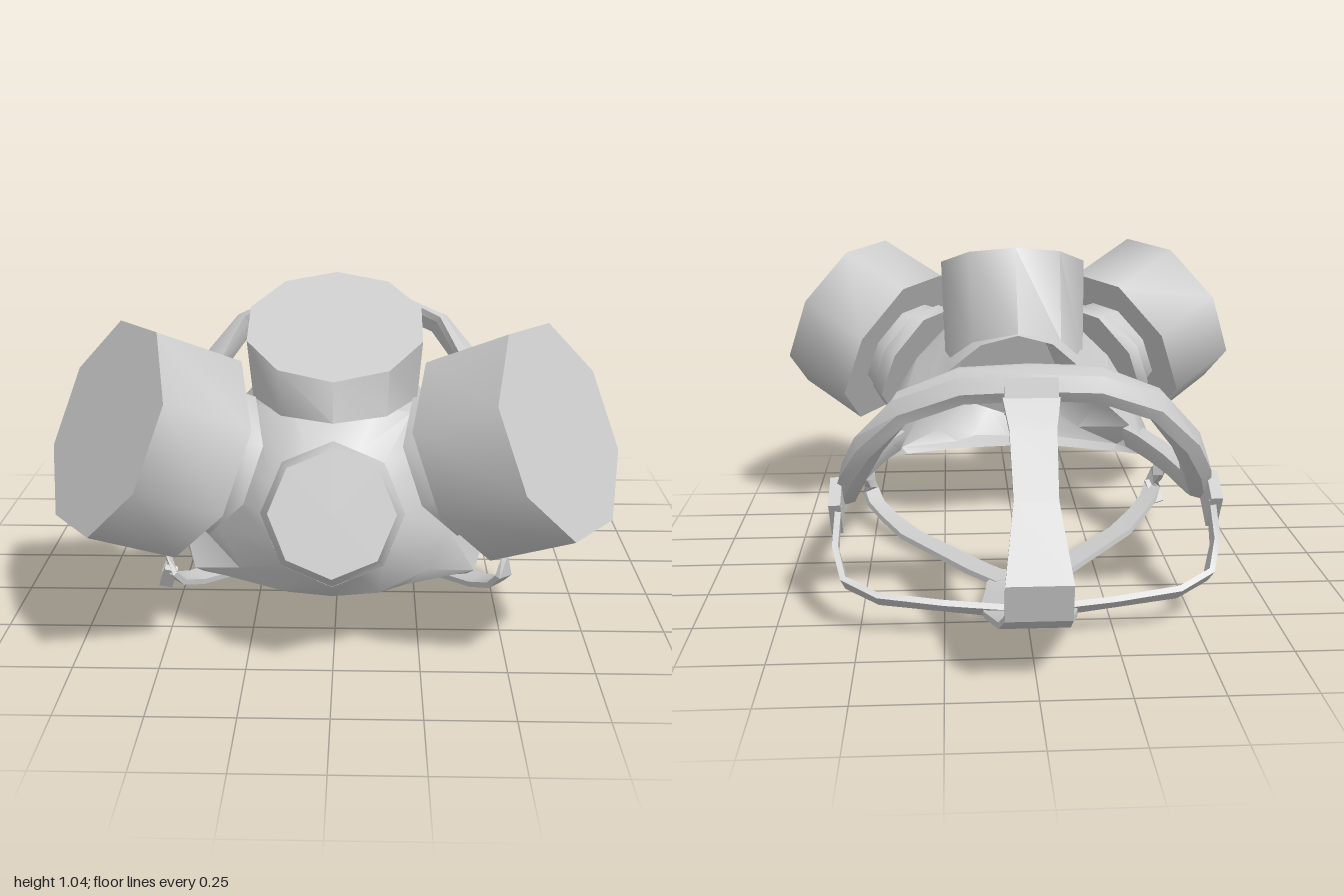
import * as THREE from 'three';
import { toCreasedNormals } from 'three/addons/utils/BufferGeometryUtils.js';

const V = (x, y, z) => new THREE.Vector3(x, y, z);
const material = new THREE.MeshStandardMaterial({ color: 0xcccccc, side: THREE.DoubleSide });

// Skin a list of equal-length closed loops; capStart / capEnd fill the ends.
function loft(name, loops, capStart, capEnd, crease) {
  const n = loops[0].length, pos = [], idx = [];
  loops.forEach(l => l.forEach(p => pos.push(p.x, p.y, p.z)));
  for (let i = 0; i < loops.length - 1; i++) {
    for (let j = 0; j < n; j++) {
      const a = i * n + j, b = i * n + (j + 1) % n;
      idx.push(a, b, a + n, b, b + n, a + n);
    }
  }
  const last = (loops.length - 1) * n;
  for (let j = 1; j < n - 1; j++) {
    if (capStart) idx.push(0, j + 1, j);
    if (capEnd) idx.push(last, last + j, last + j + 1);
  }
  // turn the faces outward
  let volume = 0;
  const at = i => V(pos[3 * i], pos[3 * i + 1], pos[3 * i + 2]);
  for (let k = 0; k < idx.length; k += 3) volume += at(idx[k]).dot(at(idx[k + 1]).cross(at(idx[k + 2])));
  if (volume < 0) idx.reverse();
  const g = new THREE.BufferGeometry();
  g.setAttribute('position', new THREE.Float32BufferAttribute(pos, 3));
  g.setIndex(idx);
  const mesh = new THREE.Mesh(toCreasedNormals(g, crease), material);
  mesh.name = name;
  return mesh;
}

// Faceted drum: axis n, one corner toward u, centre of its outer face, radii, depth.
function drum(name, n, u, face, rFace, rBack, depth) {
  const g = new THREE.CylinderGeometry(rFace, rBack, depth, 8).translate(0, -depth / 2, 0);
  const y = n.clone().normalize();
  const x = y.clone().cross(u).normalize();
  const z = x.clone().cross(y);
  g.applyMatrix4(new THREE.Matrix4().makeBasis(x, y, z).setPosition(face));
  const mesh = new THREE.Mesh(toCreasedNormals(g, 0.85), material);
  mesh.name = name;
  return mesh;
}

// Flat strap through points [x, y, z, halfWidth], facing away from the head centre.
function strap(name, s, rows) {
  const pts = rows.map(r => V(r[0] * s, r[1], r[2]));
  const head = V(0, 0.6, -0.2);
  const loops = pts.map((p, i) => {
    const t = pts[Math.min(i + 1, pts.length - 1)].clone().sub(pts[Math.max(i - 1, 0)]).normalize();
    const side = t.clone().cross(p.clone().sub(head)).normalize();
    const n = side.clone().cross(t).normalize();
    return [[1, 1], [1, -1], [-1, -1], [-1, 1]].map(([a, b]) =>
      p.clone().addScaledVector(side, a * rows[i][3]).addScaledVector(n, b * 0.009));
  });
  return loft(name, loops, true, true, 0.5);
}

function box(name, size, p, rot) {
  const mesh = new THREE.Mesh(new THREE.BoxGeometry(...size), material);
  mesh.position.set(...p);
  mesh.rotation.set(...rot);
  mesh.name = name;
  return mesh;
}

// Mirror a half outline that starts and ends on x = 0 into a full loop.
const mirrorLoop = half => {
  const right = half.map(p => V(...p));
  return right.concat(right.slice(1, -1).reverse().map(p => V(-p.x, p.y, p.z)));
};

export function createModel() {
  const group = new THREE.Group();

  // Hollow snout, from the nose-and-chin rim forward to the valve seat
  const seat = Array.from({ length: 9 }, (_, i) => {
    const a = i * Math.PI / 8, r = i % 2 ? 0.185 : 0.2;
    return [i % 8 ? r * Math.sin(a) : 0, 0.482 + 0.93 * r * Math.cos(a), 0.736 - 0.37 * r * Math.cos(a)];
  });
  const rows = [
    [[0, .775, .005], [.12, .73, .075], [.23, .62, .18], [.33, .48, .19], [.43, .39, .18],
      [.51, .28, .25], [.39, .215, .55], [.2, .22, .6], [0, .22, .62]],
    [[0, .82, .2], [.13, .79, .24], [.24, .73, .32], [.34, .63, .35], [.42, .5, .36],
      [.485, .36, .37], [.41, .235, .57], [.2, .23, .66], [0, .23, .68]],
    [[0, .75, .6], [.12, .745, .6], [.22, .72, .56], [.28, .62, .57], [.32, .5, .58],
      [.33, .38, .61], [.27, .28, .66], [.13, .235, .72], [0, .23, .735]],
    seat,
  ];
  group.add(loft('snout', rows.map(mirrorLoop), false, false, 0.8));

  // Front breathing valve
  group.add(drum('frontValve', V(0, .37, .93), V(0, .93, -.37), V(0, .51, .805), .175, .2, .075));

  // Central housing on the nose bridge: tilted flat cap, base flared over the nose
  const cap = [], base = [];
  for (let i = 0; i < 10; i++) {
    const a = i * Math.PI / 5, c = Math.cos(a), sn = Math.sin(a);
    cap.push(V(.262 * sn, .94 - .1 * c, .425 + .245 * c));
    base.push(V(.25 * sn, c > 0 ? .73 : .58 - .2 * c, .35 + .345 * c));
  }
  group.add(loft('centralHousing', [base, cap], false, true, 0.7));

  // Visor frame: [outer x, outer z, inner x, inner z, y] from the snout to the brow
  const frame = [
    [.47, .35, .39, .26, .345], [.5, .29, .43, .2, .335],
    [.535, .2, .455, .13, .33], [.575, .05, .5, .03, .313], [.6, -.13, .525, -.12, .31],
    [.59, -.3, .505, -.29, .355], [.555, -.45, .465, -.41, .465], [.5, -.55, .42, -.48, .57],
    [.38, -.61, .34, -.535, .69], [.2, -.64, .19, -.56, .755], [0, -.65, 0, -.57, .765],
  ];
  const full = frame.concat(frame.slice(0, -1).reverse().map(([a, b, c, d, y]) => [-a, b, -c, d, y]));
  const mid = full.map(([a, b, c, d, y]) => V((a + c) / 2, y, (b + d) / 2));
  const section = [[-.5, -.047], [-1, -.015], [-.6, .03], [.5, .047], [1.25, .045], [1.2, .02], [.6, -.035]];
  group.add(loft('visorFrame', full.map(([a, b, c, d], i) => {
    const t = mid[Math.min(i + 1, mid.length - 1)].clone().sub(mid[Math.max(i - 1, 0)]).normalize();
    const h = V((c - a) / 2, 0, (d - b) / 2);
    const v = h.clone().cross(t).normalize();
    if (v.y < 0) v.negate();
    return section.map(([p, q]) => mid[i].clone().addScaledVector(h, p).addScaledVector(v, q));
  }), true, true, 0.5));

  // Centre strap: under the head, round the back and up to the brow
  group.add(strap('centreStrap', 1, [
    [0, .015, -.145, .065], [0, .015, -.25, .115], [0, .035, -.38, .125], [0, .07, -.55, .142],
    [0, .09, -.65, .135], [0, .125, -.8, .1], [0, .22, -.965, .09], [0, .32, -.99, .09],
    [0, .5, -.85, .06], [0, .66, -.72, .065], [0, .73, -.65, .08],
  ]));
  group.add(box('browBuckle', [.15, .1, .035], [0, .735, -.64], [.3, 0, 0]));

  for (const s of [1, -1]) {
    // Side filter canister on its stepped neck
    const n = V(.766 * s, .426, .48).normalize();
    const u = V(-.24 * s, -.165, .53);
    const face = V(.615 * s, .732, .735);
    group.add(drum('sideCanister', n, u, face, .308, .308, .27));
    group.add(drum('canisterNeck', n, u, face.clone().addScaledVector(n, -.26), .18, .2, .07));
    group.add(drum('neckFlange', n, u, face.clone().addScaledVector(n, -.32), .21, .22, .05));

    // Temple strap and buckle
    group.add(strap('templeStrap', s, [
      [.565, .34, -.41, .055], [.57, .23, -.465, .048], [.54, .15, -.53, .038],
      [.44, .12, -.585, .032], [.25, .1, -.6, .032], [.08, .08, -.6, .045],
    ]));
    group.add(box('templeBuckle', [.035, .13, .11], [.568 * s, .345, -.4], [-.55, 0, 0]));

    // Chin strap curling forward through its buckle
    group.add(strap('chinStrap', s, [
      [.05, .014, -.22, .05], [.14, .016, -.12, .048], [.37, .035, .16, .042],
      [.45, .06, .28, .035], [.5, .09, .35, .032], [.52, .13, .385, .03],
      [.525, .175, .365, .03], [.525, .21, .29, .03], [.52, .26, .26, .04],
    ]));
    group.add(box('chinBuckle', [.035, .07, .12], [.52 * s, .26, .265], [0, .2 * s, 0]));
  }
  group.add(box('strapTail', [.04, .09, .02], [-.525, .11, .375], [.5, 0, -.3]));
  return group;
}
